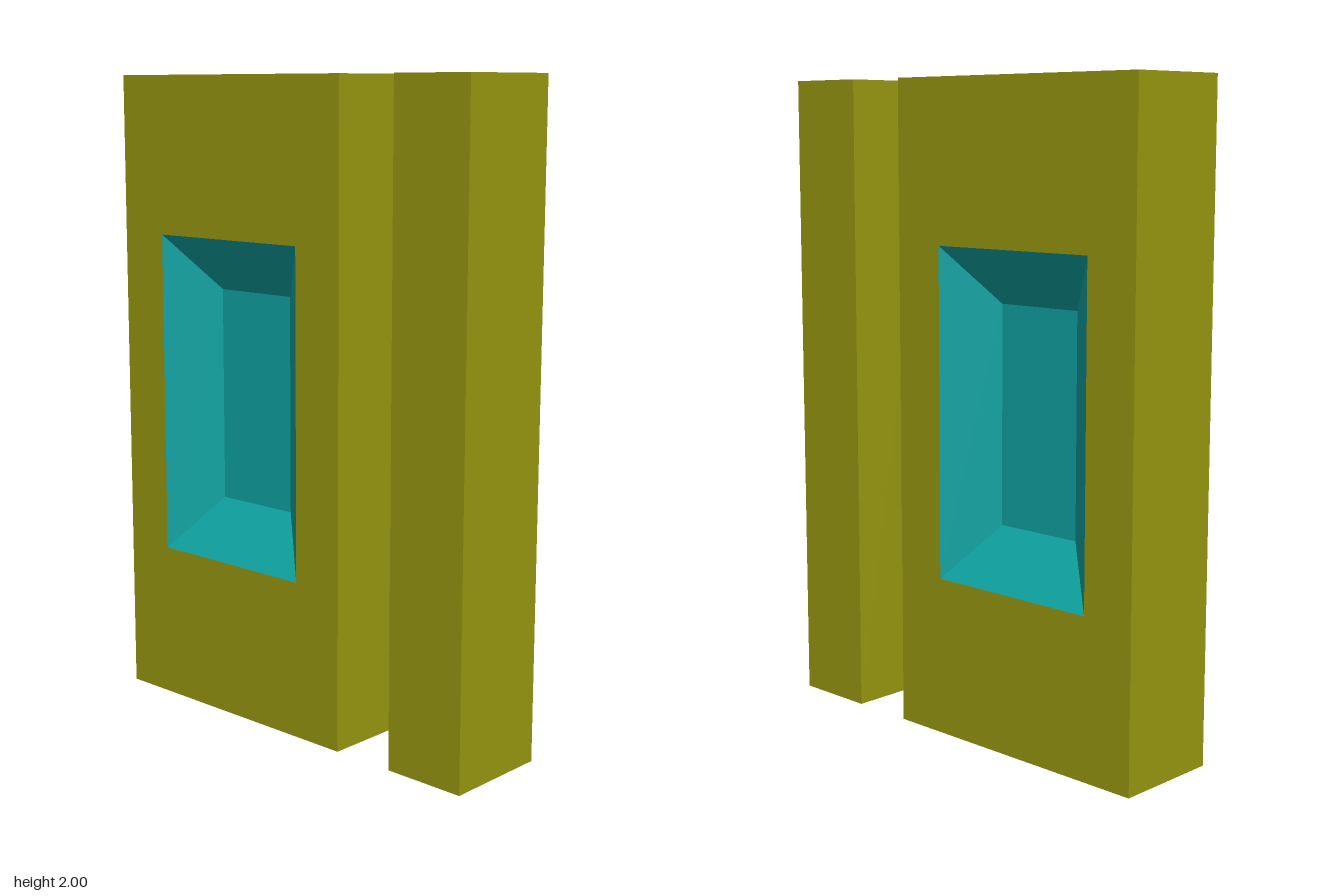
import * as THREE from 'three';

const olive = new THREE.MeshStandardMaterial({ color: 0x999910, flatShading: true });
const teal = new THREE.MeshStandardMaterial({ color: 0x10a5a5, flatShading: true });

const HEIGHT = 2, HALF_X = 0.171;

// Rectangle of half sizes hz, hy at x, counter-clockwise as seen from +x
const ring = (x, hz, hy) => [[x, -hy, hz], [x, -hy, -hz], [x, hy, -hz], [x, hy, hz]];

// Joins successive rings with quads, optionally filling the first ring
function loft(rings, fillFirst = false) {
  const pos = [];
  const quad = (a, b, c, d) => pos.push(...a, ...b, ...c, ...a, ...c, ...d);
  for (let r = 0; r + 1 < rings.length; r++) {
    for (let i = 0; i < 4; i++) {
      const j = (i + 1) % 4;
      quad(rings[r][i], rings[r + 1][i], rings[r + 1][j], rings[r][j]);
    }
  }
  if (fillFirst) quad(...rings[0]);
  const geo = new THREE.BufferGeometry();
  geo.setAttribute('position', new THREE.Float32BufferAttribute(pos, 3));
  geo.computeVertexNormals();
  return geo;
}

function addMesh(parent, name, geometry, material) {
  const mesh = new THREE.Mesh(geometry, material);
  mesh.name = name;
  parent.add(mesh);
  return mesh;
}

export function createModel() {
  const model = new THREE.Group();
  model.name = 'recessedPanelAndPost';

  // Separate post at the front
  const post = addMesh(model, 'frontPost', new THREE.BoxGeometry(HALF_X * 2, HEIGHT, 0.264), olive);
  post.position.set(0, HEIGHT / 2, 0.563);

  // Wide slab, open in the middle of both broad faces
  const panel = new THREE.Group();
  panel.name = 'panel';
  panel.position.set(0, HEIGHT / 2, -0.233);
  model.add(panel);

  const opening = (x) => ring(x, 0.291, 0.508);
  const edge = (x) => ring(x, 0.462, HEIGHT / 2);
  addMesh(panel, 'panelFrame',
    loft([opening(HALF_X), edge(HALF_X), edge(-HALF_X), opening(-HALF_X)]), olive);

  // Sloped recess with a flat floor on each broad face
  const recess = loft([ring(0.047, 0.148, 0.337), opening(HALF_X)], true);
  addMesh(panel, 'leftRecess', recess, teal);
  addMesh(panel, 'rightRecess', recess, teal).rotation.y = Math.PI;

  return model;
}
